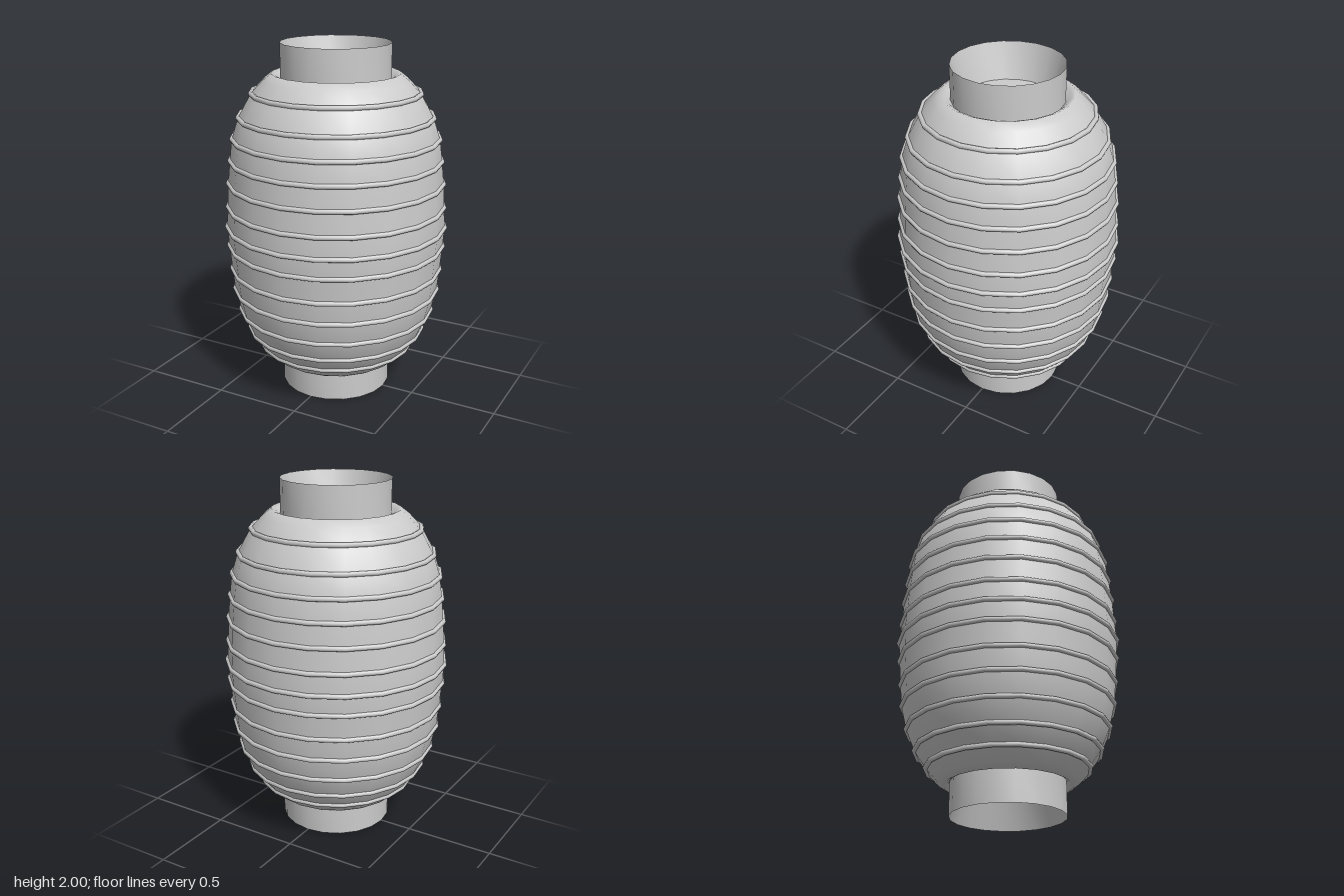
import * as THREE from 'three';
import { toCreasedNormals } from 'three/addons/utils/BufferGeometryUtils.js';

const SIDES = 20;
const material = new THREE.MeshStandardMaterial({ color: 0xcccccc, side: THREE.DoubleSide });

// Ribs from bottom to top: [outer radius, height]
const RIBS = [
  [0.46, 0.257], [0.523, 0.35], [0.573, 0.47], [0.603, 0.6], [0.615, 0.725],
  [0.627, 0.866], [0.635, 0.977], [0.627, 1.094], [0.62, 1.23], [0.607, 1.358],
  [0.592, 1.48], [0.555, 1.597], [0.482, 1.728],
];
const RIB = 0.014;

function addMesh(group, name, geometry) {
  const mesh = new THREE.Mesh(geometry, material);
  mesh.name = name;
  group.add(mesh);
  return mesh;
}

function lathe(points) {
  return new THREE.LatheGeometry(points.map(([r, y]) => new THREE.Vector2(r, y)), SIDES);
}

export function createModel() {
  const group = new THREE.Group();
  group.name = 'lantern';

  // Paper shade: a barrel whose ends roll inward to the collars
  addMesh(group, 'shade', lathe([
    [0.3, 0.2], [0.325, 0.175], [0.345, 0.165], [0.385, 0.19],
    ...RIBS.map(([r, y]) => [r - RIB, y]),
    [0.4, 1.8], [0.355, 1.835], [0.33, 1.825], [0.295, 1.795],
  ]));

  // Hoops around the shade
  const ribs = new THREE.Group();
  ribs.name = 'ribs';
  group.add(ribs);
  for (const [r, y] of RIBS) {
    const geometry = new THREE.TorusGeometry(r - RIB, RIB, 8, SIDES);
    geometry.rotateX(Math.PI / 2);
    addMesh(ribs, 'rib', geometry).position.y = y;
  }

  // Collars: straight outside, tapering inside down to a flat disc
  const collar = (points) => toCreasedNormals(lathe(points), 0.7);
  addMesh(group, 'topCollar', collar([[0.305, 1.79], [0.305, 2], [0.25, 1.8], [0, 1.8]]));
  addMesh(group, 'bottomCollar', collar([[0, 0.18], [0.26, 0.18], [0.315, 0], [0.315, 0.21]]));

  return group;
}
